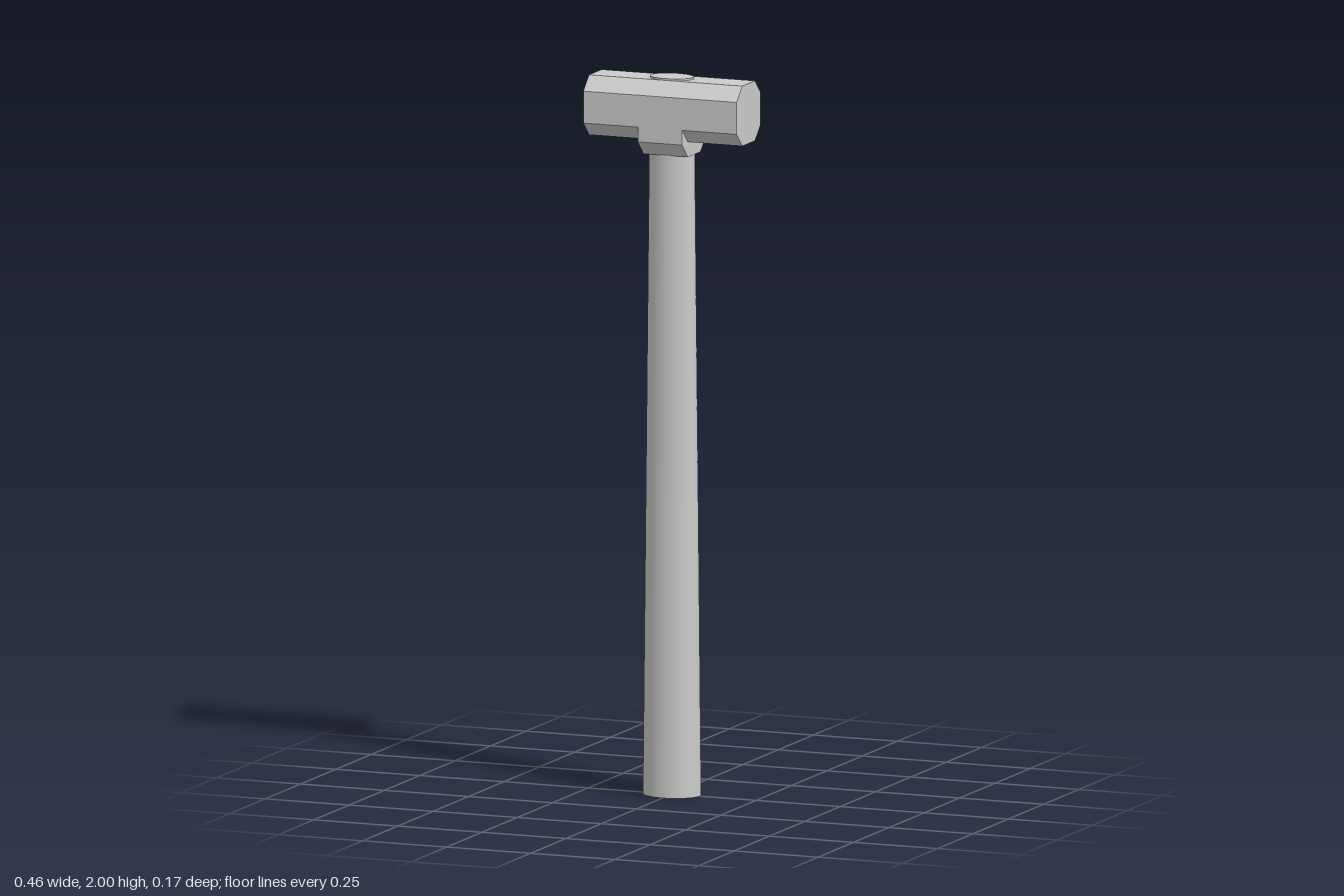
import * as THREE from 'three';

// Prism along x from a mirrored half cross-section of [z, y] points
function prism(half, length, material, name) {
  const mirrored = half.map(([z, y]) => [-z, y]).reverse();
  const shape = new THREE.Shape([...half, ...mirrored].map(([z, y]) => new THREE.Vector2(z, y)));
  const geometry = new THREE.ExtrudeGeometry(shape, { depth: length, bevelEnabled: false });
  geometry.translate(0, 0, -length / 2).rotateY(Math.PI / 2);
  const mesh = new THREE.Mesh(geometry, material);
  mesh.name = name;
  return mesh;
}

// Tapered shaft with an oval section that gets narrower towards the top
function ovalShaft(height, bottom, top) {
  const geometry = new THREE.CylinderGeometry(1, 1, height, 64);
  geometry.translate(0, height / 2, 0);
  const p = geometry.attributes.position;
  const n = geometry.attributes.normal;
  for (let i = 0; i < p.count; i++) {
    const t = p.getY(i) / height;
    const rx = THREE.MathUtils.lerp(bottom[0], top[0], t);
    const rz = THREE.MathUtils.lerp(bottom[1], top[1], t);
    p.setXYZ(i, p.getX(i) * rx, p.getY(i), p.getZ(i) * rz);
    n.setXYZ(i, n.getX(i) / rx, n.getY(i), n.getZ(i) / rz);
  }
  geometry.normalizeNormals();
  return geometry;
}

export function createModel() {
  const group = new THREE.Group();
  group.name = 'sledgehammer';
  const grey = new THREE.MeshStandardMaterial({ color: 0xcccccc });
  grey.name = 'light grey';

  // Handle, passing through the head and just showing on top
  const handle = new THREE.Mesh(ovalShaft(2, [0.082, 0.066], [0.063, 0.045]), grey);
  handle.name = 'handle';
  group.add(handle);

  // Octagonal head
  group.add(prism([[0.045, 1.828], [0.085, 1.867], [0.085, 1.956], [0.045, 1.995]], 0.456, grey, 'head'));

  // Chamfered collar below the middle of the head
  group.add(prism([[0.045, 1.786], [0.085, 1.826], [0.085, 1.867]], 0.132, grey, 'collar'));

  return group;
}
